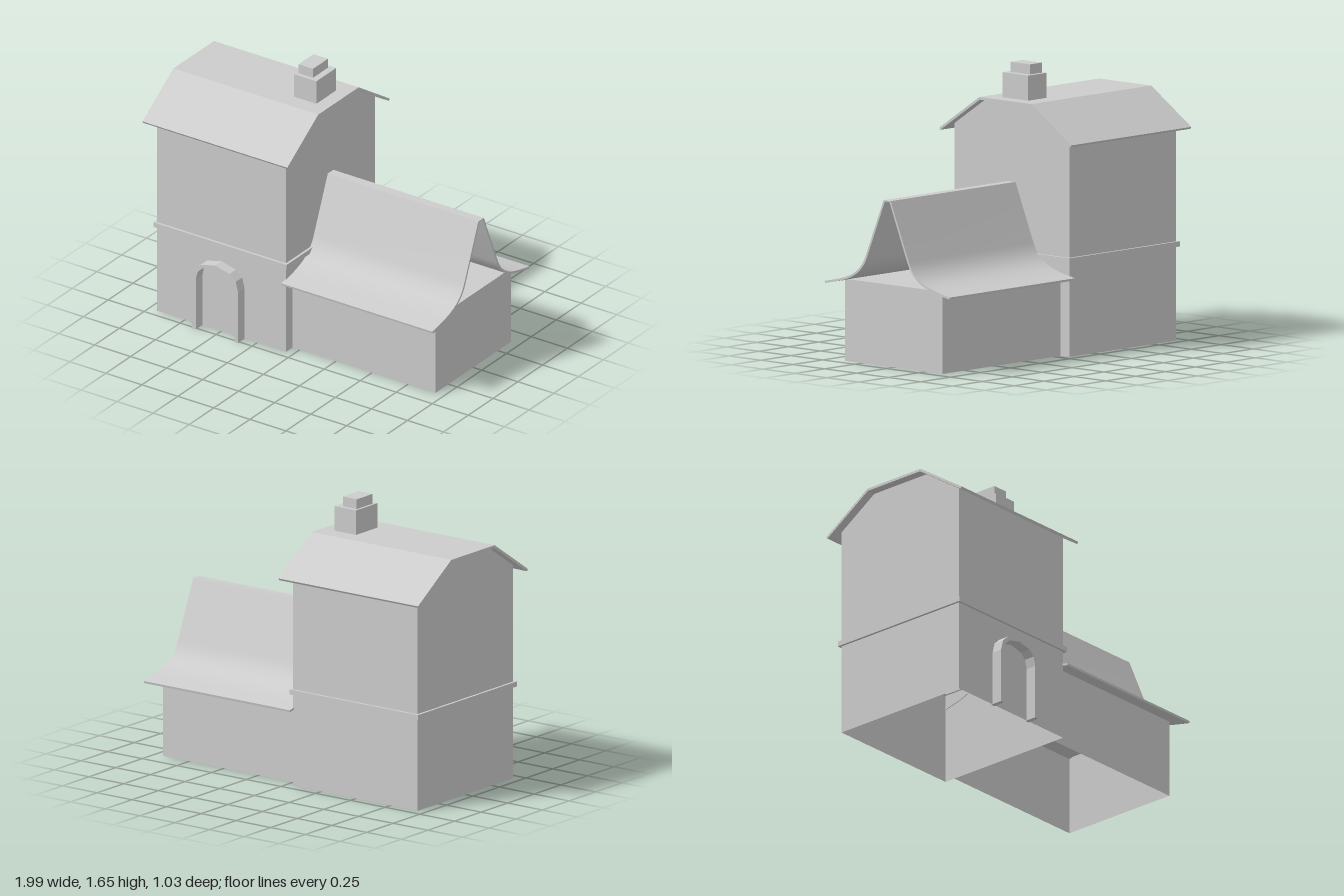
import * as THREE from 'three';
import { toCreasedNormals } from 'three/addons/utils/BufferGeometryUtils.js';

const material = new THREE.MeshStandardMaterial({ color: 0xcccccc, side: THREE.DoubleSide });

function add(group, name, geometry, x = 0, y = 0, z = 0) {
  const mesh = new THREE.Mesh(geometry, material);
  mesh.name = name;
  mesh.position.set(x, y, z);
  group.add(mesh);
  return mesh;
}

const toShape = (pts) => new THREE.Shape(pts.map(([a, b]) => new THREE.Vector2(a, b)));
const mirrored = (half) => [...half, ...half.slice().reverse().map(([a, b]) => [-a, b])];
const extrude = (shape, depth) => new THREE.ExtrudeGeometry(shape, { depth, bevelEnabled: false });

// Band between two half profiles, mirrored about the centre line
const bandShape = (outer, inner) => toShape([...mirrored(outer), ...mirrored(inner).reverse()]);

// Roof slab: a (z, y) band swept along x
function roof(group, name, outer, inner, x0, x1) {
  const geo = extrude(bandShape(outer, inner), x1 - x0).rotateY(Math.PI / 2);
  add(group, name, toCreasedNormals(geo, 0.42), x0);
}

function rectangle(w, d) {
  return [[-w / 2, -d / 2], [w / 2, -d / 2], [w / 2, d / 2], [-w / 2, d / 2]];
}

function createTower() {
  const tower = new THREE.Group();
  tower.name = 'tower';
  const x0 = -0.945, x1 = -0.05, w = x1 - x0, cx = (x0 + x1) / 2;

  // Open-bottomed shell: gabled end walls and flat long walls
  const gable = toShape(mirrored([[0.45, 0], [0.45, 1.263], [0.2, 1.428]]));
  for (const [x, turn, name] of [[x1, 1, 'leftGableWall'], [x0, -1, 'rightGableWall']]) {
    add(tower, name, new THREE.ShapeGeometry(gable), x).rotation.y = turn * Math.PI / 2;
  }
  add(tower, 'frontWall', new THREE.PlaneGeometry(w, 1.263), cx, 1.263 / 2, 0.45);
  add(tower, 'backWall', new THREE.PlaneGeometry(w, 1.263), cx, 1.263 / 2, -0.45).rotation.y = Math.PI;

  // Trim course around the walls
  const ring = toShape(rectangle(w + 0.03, 0.93));
  ring.holes.push(toShape(rectangle(w - 0.02, 0.88)));
  add(tower, 'trimCourse', extrude(ring, 0.03).rotateX(-Math.PI / 2), cx, 0.543, 0);

  // Roof with a flat ridge
  roof(tower, 'towerRoof',
    [[0.517, 1.235], [0.204, 1.443]],
    [[0.509, 1.223], [0.2, 1.428]], -1, 0.005);

  // Chimney
  add(tower, 'chimneyStack', new THREE.BoxGeometry(0.155, 0.16, 0.2), -0.157, 1.508, 0);
  add(tower, 'chimneyCap', new THREE.BoxGeometry(0.1, 0.06, 0.15), -0.17, 1.616, 0);

  // Door surround
  const surround = bandShape(
    [[0.16, 0], [0.16, 0.325], [0.143, 0.39], [0.1, 0.428], [0, 0.453]],
    [[0.134, 0], [0.134, 0.325], [0.12, 0.378], [0.085, 0.41], [0, 0.43]]);
  add(tower, 'doorSurround', extrude(surround, 0.075), -0.497, 0, 0.44);
  return tower;
}

function createWing() {
  const wing = new THREE.Group();
  wing.name = 'wing';

  // Box open at the bottom and against the tower
  const walls = new THREE.BoxGeometry(0.99, 0.475, 0.764);
  const index = Array.from(walls.index.array);
  walls.setIndex([...index.slice(0, 6), ...index.slice(12, 18), ...index.slice(24)]);
  walls.clearGroups();
  add(wing, 'wingWalls', walls, 0.445, 0.2375, 0);

  // Steep roof flaring out at the eaves
  const curve = new THREE.CubicBezierCurve(
    new THREE.Vector2(0.168, 0.635), new THREE.Vector2(0.222, 0.505),
    new THREE.Vector2(0.34, 0.49), new THREE.Vector2(0.489, 0.458));
  const outer = [[0.028, 0.97]], inner = [[0.018, 0.963]];
  for (let i = 0; i <= 14; i++) {
    const p = curve.getPoint(i / 14), t = curve.getTangent(i / 14);
    outer.push([p.x, p.y]);
    inner.push([p.x + t.y * 0.013, p.y - t.x * 0.013]);
  }
  roof(wing, 'wingRoof', outer.reverse(), inner.reverse(), -0.055, 0.995);
  return wing;
}

export function createModel() {
  const model = new THREE.Group();
  model.name = 'house';
  model.add(createTower(), createWing());
  return model;
}
